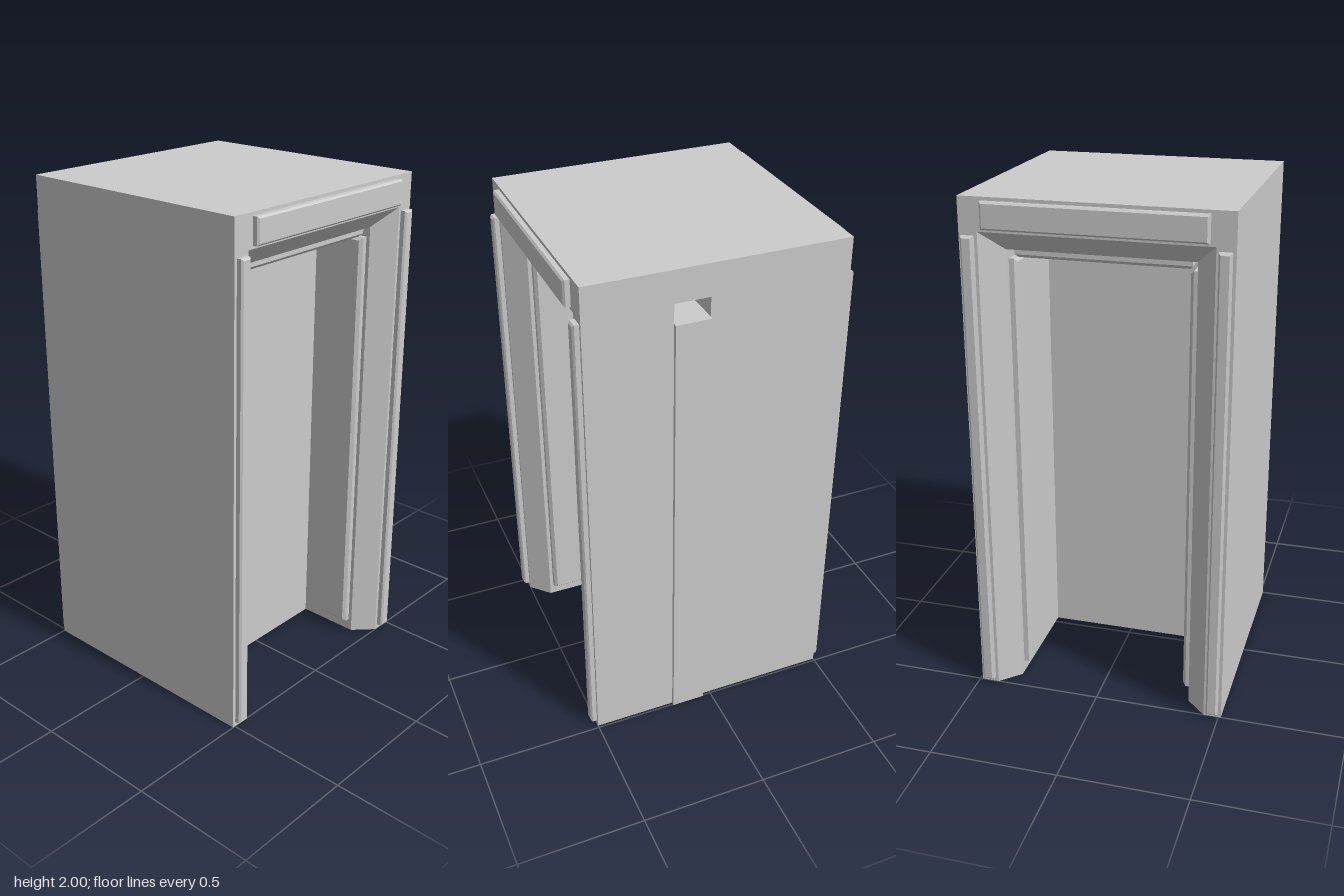
import * as THREE from 'three';

const material = new THREE.MeshStandardMaterial({ color: 0xcccccc, flatShading: true });
const CEILING = 1.8, INNER = 0.353;   // clear opening: height and half width
const SLOT = [0.035, 0.17];           // z range of the sliding door

function add(parent, name, geometry) {
  const mesh = new THREE.Mesh(geometry, material);
  mesh.name = name;
  parent.add(mesh);
  return mesh;
}

// Flat plate standing d proud of z = 0, with a chamfered outer edge
function plate(w, h, d, b = 0.007) {
  const x = w / 2 - b, y = h / 2 - b;
  const shape = new THREE.Shape([[-x, -y], [x, -y], [x, y], [-x, y]].map(p => new THREE.Vector2(...p)));
  return new THREE.ExtrudeGeometry(shape, { depth: d - b, bevelSize: b, bevelThickness: b, bevelSegments: 1 });
}

// Frame: one cross-section carried up, across and down around the doorway
function frameGeometry() {
  const pos = [];
  const poly = (...p) => {
    for (let i = 1; i < p.length - 1; i++) pos.push(...p[0], ...p[i], ...p[i + 1]);
  };
  const section = [ // half width, height, z
    [0.5, 2, -0.5], [0.43, 1.875, -0.5], [INNER, CEILING, -0.425],
    [INNER, CEILING, 0.425], [0.43, 1.875, 0.5], [0.5, 2, 0.5],
  ];
  const rings = section.map(([w, h, z]) => [[-w, 0, z], [-w, h, z], [w, h, z], [w, 0, z]]);
  rings.forEach((a, i) => {
    const b = rings[(i + 1) % rings.length];
    for (let k = 0; k < 3; k++) {
      if (i === 5 && k === 2) continue; // slotted side is built below
      poly(a[k], a[k + 1], b[k + 1], b[k]);
    }
  });
  // Undersides of the two posts
  poly(...rings.map(r => r[0]));
  poly(...rings.map(r => r[3]).reverse());

  // Left outer side around the door slot
  const [z0, z1] = SLOT, top = 1.875;
  const side = (za, zb, ya, yb) =>
    poly([0.5, ya, zb], [0.5, ya, za], [0.5, yb, za], [0.5, yb, zb]);
  side(-0.5, z0, 0, 2);
  side(z1, 0.5, 0, 2);
  side(z0, z1, top, 2);
  // Sloping slot head and its cheeks
  poly([INNER, CEILING, z1], [INNER, CEILING, z0], [0.5, top, z0], [0.5, top, z1]);
  poly([INNER, CEILING, z0], [0.5, CEILING, z0], [0.5, top, z0]);
  poly([INNER, CEILING, z1], [0.5, top, z1], [0.5, CEILING, z1]);

  const g = new THREE.BufferGeometry();
  g.setAttribute('position', new THREE.Float32BufferAttribute(pos, 3));
  g.computeVertexNormals();
  return g;
}

export function createModel() {
  const model = new THREE.Group();
  model.name = 'doorway';
  const body = new THREE.Group();
  body.name = 'body';
  body.position.x = -0.01;
  model.add(body);

  add(body, 'frame', frameGeometry());

  // Sliding door, its end standing out of the slot
  const doorLeft = 0.515;
  add(body, 'slidingDoor', new THREE.BoxGeometry(doorLeft + INNER, CEILING, SLOT[1] - SLOT[0]))
    .position.set((doorLeft - INNER) / 2, CEILING / 2, (SLOT[0] + SLOT[1]) / 2);

  // Trim on both faces
  for (const turn of [0, Math.PI]) {
    const face = new THREE.Group();
    face.name = turn ? 'backTrim' : 'frontTrim';
    face.rotation.y = turn;
    body.add(face);
    add(face, 'lintelPlate', plate(0.82, 0.1, 0.025)).position.set(0, 1.937, 0.5);
    for (const s of [-1, 1])
      add(face, 'postStrip', plate(0.046, 1.84, 0.025)).position.set(s * 0.465, 0.94, 0.5);
  }

  // Raised panels lining the opening before and behind the door
  for (const [za, zb] of [[0.27, 0.41], [-0.4, -0.08]]) {
    const z = (za + zb) / 2, depth = zb - za;
    for (const s of [-1, 1]) {
      const panel = add(body, 'jambPanel', plate(depth, 1.71, 0.032, 0.012));
      panel.position.set(s * INNER, 0.905, z);
      panel.rotation.y = -s * Math.PI / 2;
    }
    const panel = add(body, 'ceilingPanel', plate(0.66, depth, 0.035, 0.012));
    panel.position.set(0, CEILING, z);
    panel.rotation.x = Math.PI / 2;
  }
  return model;
}
